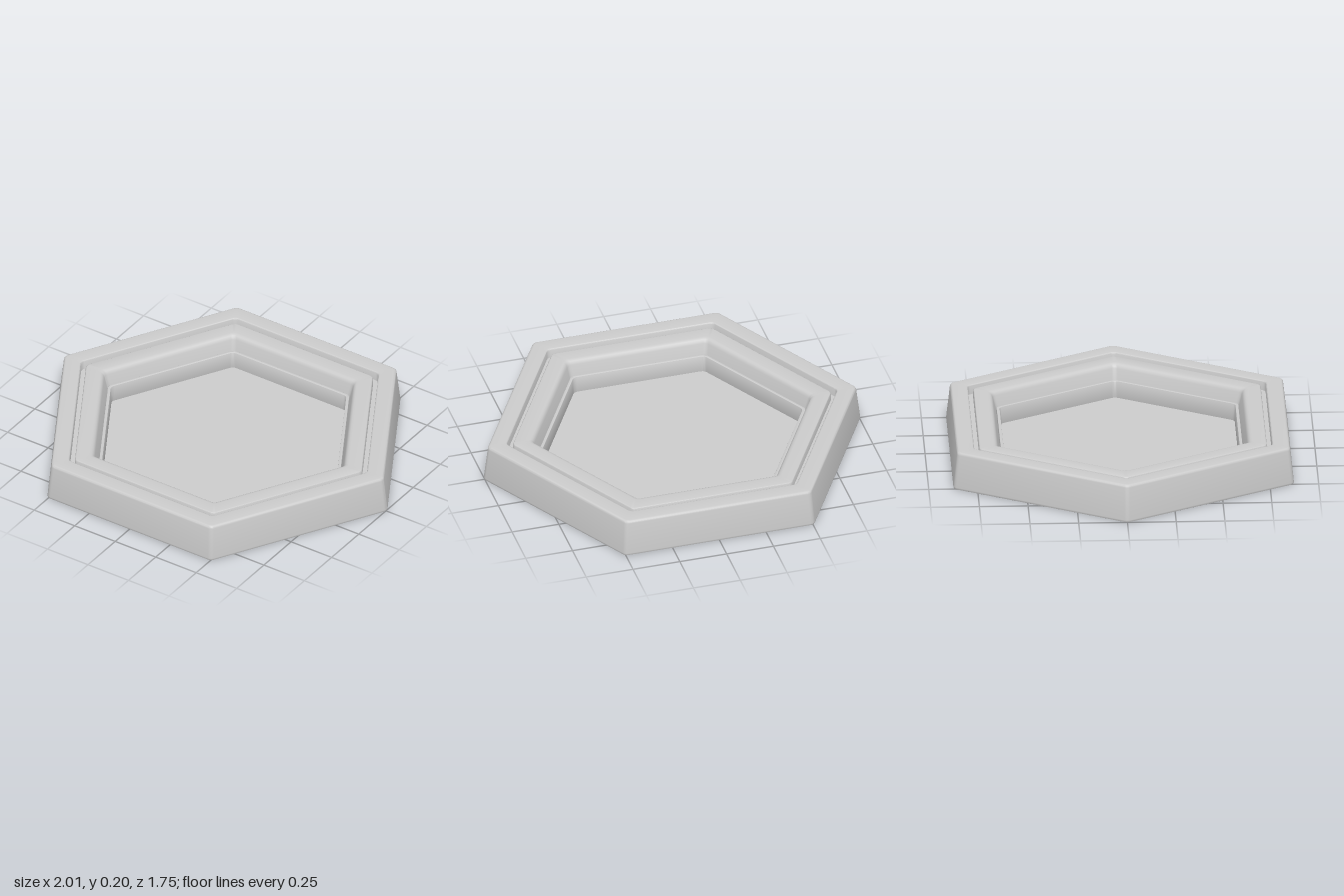
import * as THREE from 'three';
import { toCreasedNormals } from 'three/addons/utils/BufferGeometryUtils.js';

const material = new THREE.MeshStandardMaterial({ color: 0xcccccc });
const FILLET = 0.03;

// Hexagon of corner radius r at height y, with slightly rounded corners
function hexLoop(r, y) {
  const pts = [];
  const c = r - FILLET / Math.cos(Math.PI / 6);
  for (let k = 0; k < 6; k++) {
    const a = (k * Math.PI) / 3;
    for (let s = 0; s < 4; s++) {
      const b = a + (-Math.PI / 6) + (s * Math.PI) / 9;
      pts.push([c * Math.cos(a) + FILLET * Math.cos(b), y, c * Math.sin(a) + FILLET * Math.sin(b)]);
    }
  }
  return pts;
}

// Rounds each corner of a closed [r, y, radius] profile
function roundProfile(corners) {
  const out = [];
  const n = corners.length;
  const toward = (p, q, d) => {
    const len = Math.hypot(q[0] - p[0], q[1] - p[1]);
    return [p[0] + ((q[0] - p[0]) * d) / len, p[1] + ((q[1] - p[1]) * d) / len];
  };
  corners.forEach((p, i) => {
    const a = toward(p, corners[(i + n - 1) % n], p[2]);
    const b = toward(p, corners[(i + 1) % n], p[2]);
    for (let s = 0; s <= 4; s++) {
      const t = s / 4, u = 1 - t;
      out.push([0, 1].map((k) => u * u * a[k] + 2 * u * t * p[k] + t * t * b[k]));
    }
  });
  return out;
}

// Sweeps a counter-clockwise [r, y] profile around the hexagon
function hexRing(name, corners) {
  const loops = roundProfile(corners).map(([r, y]) => hexLoop(r, y));
  const n = loops.length, m = loops[0].length;
  const index = [];
  for (let i = 0; i < n; i++) {
    for (let j = 0; j < m; j++) {
      const i2 = (i + 1) % n, j2 = (j + 1) % m;
      const a = i * m + j, b = i2 * m + j, c = i2 * m + j2, d = i * m + j2;
      index.push(a, b, c, a, c, d);
    }
  }
  const geometry = new THREE.BufferGeometry();
  geometry.setAttribute('position', new THREE.Float32BufferAttribute(loops.flat(2), 3));
  geometry.setIndex(index);
  const mesh = new THREE.Mesh(toCreasedNormals(geometry, 0.6), material);
  mesh.name = name;
  return mesh;
}

export function createModel() {
  const group = new THREE.Group();
  group.name = 'hexagonalTray';

  // Outer frame: leaning wall, flat top, underside rising inward
  group.add(hexRing('outerFrame', [
    [1.01, 0, 0.015], [0.985, 0.2, 0.015], [0.882, 0.2, 0.01], [0.878, 0.03, 0.01],
  ]));

  // Web closing the groove between the two frames
  group.add(hexRing('grooveWeb', [
    [0.9, 0.07, 0.003], [0.9, 0.15, 0.003], [0.83, 0.15, 0.003], [0.83, 0.07, 0.003],
  ]));

  // Inner frame with its sloping inside face
  group.add(hexRing('innerFrame', [
    [0.852, 0.035, 0.01], [0.852, 0.192, 0.01], [0.745, 0.192, 0.025],
    [0.718, 0.1, 0.01], [0.7, 0.02, 0.01],
  ]));

  // Thin lip standing around the floor
  group.add(hexRing('floorLip', [
    [0.716, 0.02, 0.003], [0.716, 0.115, 0.003], [0.698, 0.115, 0.003], [0.694, 0.02, 0.003],
  ]));

  // Floor panel
  const floor = new THREE.Mesh(
    new THREE.CylinderGeometry(0.705, 0.705, 0.01, 6).rotateY(Math.PI / 6),
    material
  );
  floor.geometry = toCreasedNormals(floor.geometry, 0.5);
  floor.position.y = 0.02;
  floor.name = 'floorPanel';
  group.add(floor);

  return group;
}
